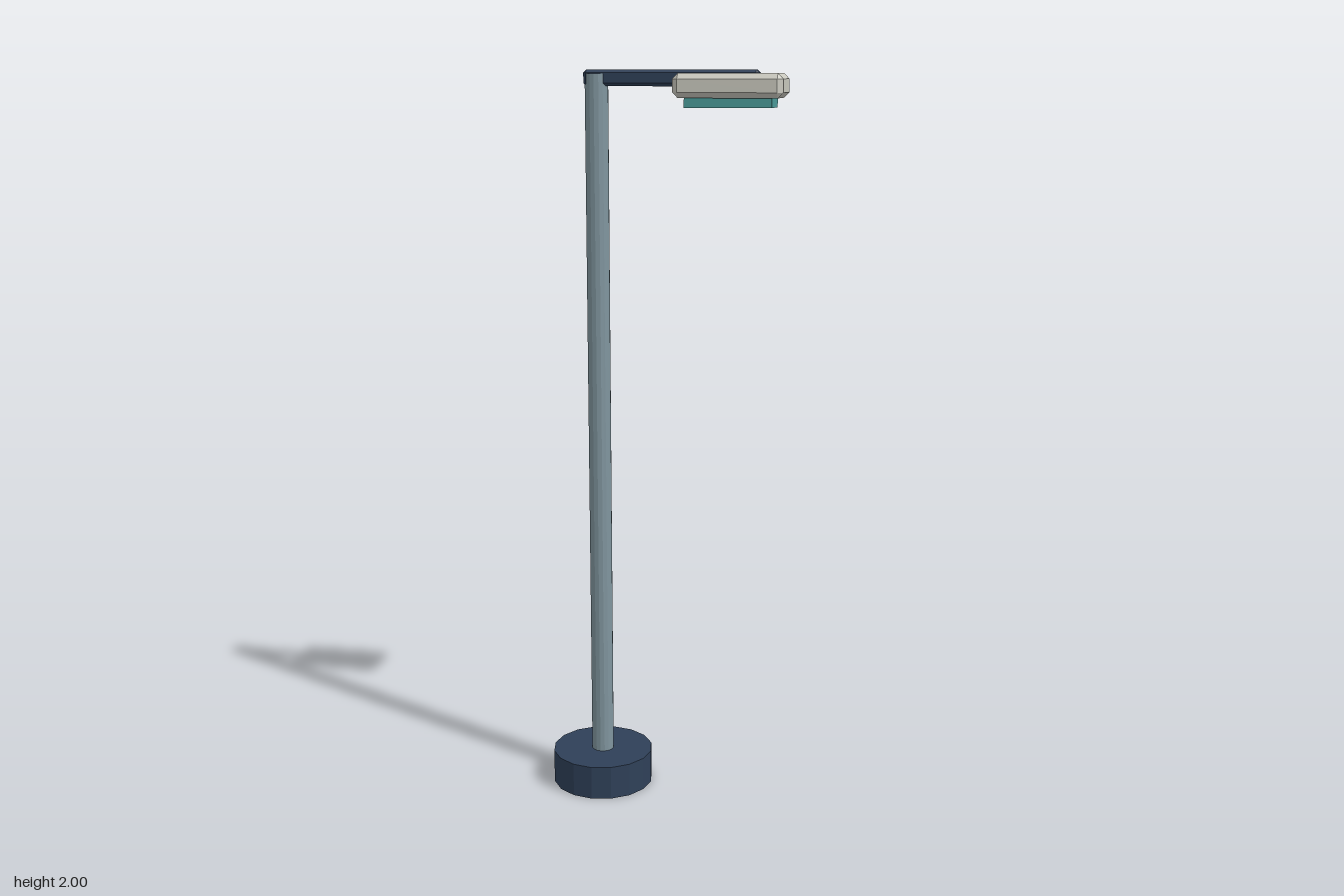
import * as THREE from 'three';
import { ConvexGeometry } from 'three/addons/geometries/ConvexGeometry.js';

// Box with every edge cut by a chamfer c
function chamferBox(w, h, d, c) {
  const points = [];
  for (const x of [-1, 1]) for (const y of [-1, 1]) for (const z of [-1, 1]) {
    for (let axis = 0; axis < 3; axis++) {
      const half = [w / 2, h / 2, d / 2].map((v, i) => (i === axis ? v : v - c));
      points.push(new THREE.Vector3(x * half[0], y * half[1], z * half[2]));
    }
  }
  return new ConvexGeometry(points);
}

export function createModel() {
  const group = new THREE.Group();
  const material = (color) => new THREE.MeshStandardMaterial({ color, flatShading: true });
  const navy = material(0x2f4058);
  const steel = material(0x80959e);
  const shell = material(0xc9c8be);
  const teal = material(0x4a9a98);

  const add = (name, geometry, mat, x, y, z = 0) => {
    const mesh = new THREE.Mesh(geometry, mat);
    mesh.name = name;
    mesh.position.set(x, y, z);
    group.add(mesh);
  };

  const poleX = -0.178;

  // Footing and pole
  add('base', new THREE.CylinderGeometry(0.142, 0.142, 0.095, 16), navy, poleX, 0.0475);
  add('pole', new THREE.CylinderGeometry(0.031, 0.031, 1.9, 16), steel, poleX, 1.04);

  // Horizontal arm carrying the lamp
  add('arm', chamferBox(0.462, 0.042, 0.042, 0.008), navy, 0.021, 1.979);

  // Lamp housing with the light panel below it
  add('lampHousing', chamferBox(0.284, 0.062, 0.156, 0.014), shell, 0.178, 1.96);
  add('lightPanel', new THREE.BoxGeometry(0.226, 0.03, 0.118), teal, 0.178, 1.92);

  return group;
}
